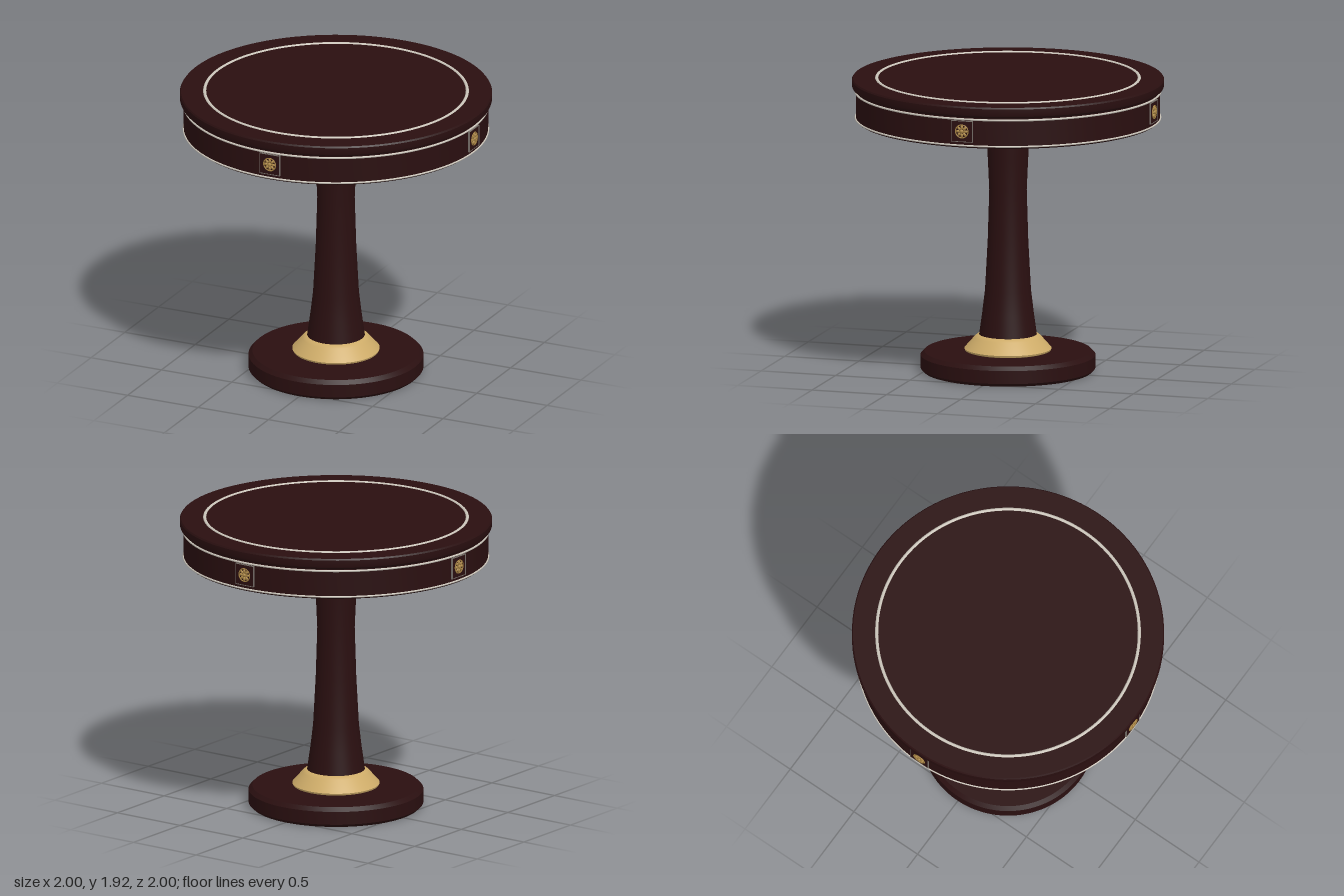
import * as THREE from 'three';
import { toCreasedNormals } from 'three/addons/utils/BufferGeometryUtils.js';

const paint = (name, color) => {
  const m = new THREE.MeshStandardMaterial({ color });
  m.name = name;
  return m;
};

export function createModel() {
  const wood = paint('dark mahogany', 0x2a0f10);
  const gold = paint('pale gold', 0xcdab68);
  const silver = paint('silver inlay', 0xcbc5ba);
  const bronze = paint('antique gold', 0xa88443);
  const edging = paint('dull edging', 0x77706a);

  const table = new THREE.Group();
  table.name = 'pedestalTable';

  const add = (parent, name, geometry, material, x = 0, y = 0, z = 0) => {
    const mesh = new THREE.Mesh(geometry, material);
    mesh.name = name;
    mesh.position.set(x, y, z);
    parent.add(mesh);
    return mesh;
  };
  // Turned part from [radius, height] pairs, bottom to top
  const turned = (name, profile, material, segments = 96) => {
    const points = profile.map(([r, y]) => new THREE.Vector2(r, y));
    const geometry = toCreasedNormals(new THREE.LatheGeometry(points, segments), 0.5);
    return add(table, name, geometry, material);
  };
  const hoop = (name, radius, tube, y) => {
    add(table, name, new THREE.TorusGeometry(radius, tube, 10, 128), silver, 0, y, 0).rotation.x = Math.PI / 2;
  };

  // Foot, collar and column
  turned('base', [[0, 0], [0.54, 0], [0.56, 0.02], [0.56, 0.105], [0.535, 0.13], [0, 0.13]], wood);
  turned('collar', [[0.26, 0.13], [0.275, 0.135], [0.28, 0.147], [0.268, 0.16], [0.215, 0.22],
    [0.2, 0.233], [0.18, 0.24], [0, 0.24]], gold);
  turned('column', [[0.185, 0.235], [0.165, 0.38], [0.147, 0.53], [0.13, 0.85], [0.12, 1.18],
    [0.13, 1.4], [0.138, 1.6], [0.17, 1.63], [0.17, 1.645]], wood, 64);

  // Drum under the overhanging top
  turned('apron', [[0, 1.637], [0.965, 1.637], [0.975, 1.645], [0.975, 1.84], [0, 1.84]], wood);
  turned('tabletop', [[0, 1.836], [0.975, 1.836], [0.995, 1.85], [1, 1.862], [1, 1.9], [0.993, 1.91], [0, 1.91]], wood);
  hoop('lowerBand', 0.976, 0.006, 1.652);
  hoop('upperBand', 0.976, 0.007, 1.824);
  hoop('topInlay', 0.841, 0.011, 1.907);

  // Square plaque with a rosette on each of the four sides
  for (let side = 0; side < 4; side++) {
    const plaque = new THREE.Group();
    plaque.name = 'plaque' + (side + 1);
    plaque.rotation.y = side * Math.PI / 2;
    table.add(plaque);
    add(plaque, 'plate', new THREE.BoxGeometry(0.14, 0.135, 0.012), wood, 0, 1.745, 0.975);
    for (const s of [-1, 1]) {
      add(plaque, 'uprightEdge', new THREE.BoxGeometry(0.004, 0.139, 0.016), edging, s * 0.07, 1.745, 0.975);
      add(plaque, 'levelEdge', new THREE.BoxGeometry(0.144, 0.004, 0.016), edging, 0, 1.745 + s * 0.0675, 0.975);
    }
    add(plaque, 'rosetteRim', new THREE.TorusGeometry(0.042, 0.004, 6, 32), bronze, 0, 1.745, 0.983);
    const heart = add(plaque, 'rosetteHeart', new THREE.SphereGeometry(0.013, 16, 10), bronze, 0, 1.745, 0.984);
    heart.scale.z = 0.85;
    for (let i = 0; i < 8; i++) {
      const a = i * Math.PI / 4;
      const petal = add(plaque, 'petal', new THREE.SphereGeometry(0.014, 10, 8), bronze,
        Math.cos(a) * 0.026, 1.745 + Math.sin(a) * 0.026, 0.982);
      petal.scale.set(1, 0.66, 0.6);
      petal.rotation.z = a;
    }
  }
  return table;
}
